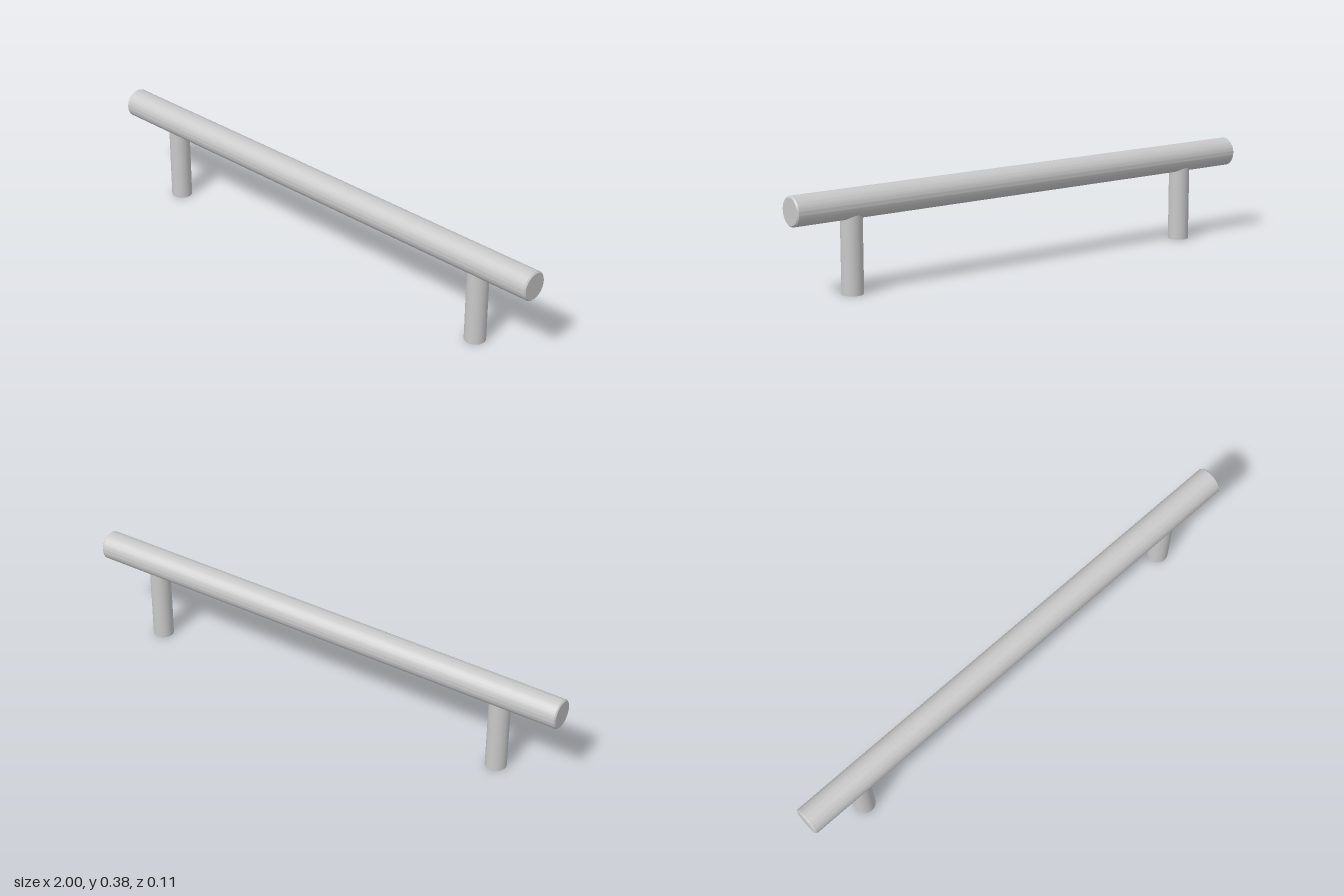
import * as THREE from 'three';
import { toCreasedNormals } from 'three/addons/utils/BufferGeometryUtils.js';

const BAR_R = 0.055, BAR_Y = 0.326, BAR_HALF = 1, CHAMFER = 0.005;
const POST_R = 0.04, POST_X = 0.757;

export function createModel() {
  const group = new THREE.Group();
  group.name = 'barHandle';
  const steel = new THREE.MeshStandardMaterial({ color: 0xc8c8c8, side: THREE.DoubleSide });
  steel.name = 'brushed steel';

  // Round bar with a small chamfer at both ends
  const profile = [
    [0, -BAR_HALF], [BAR_R - CHAMFER, -BAR_HALF], [BAR_R, -BAR_HALF + CHAMFER],
    [BAR_R, BAR_HALF - CHAMFER], [BAR_R - CHAMFER, BAR_HALF], [0, BAR_HALF],
  ].map(([r, y]) => new THREE.Vector2(r, y));
  const barGeometry = toCreasedNormals(new THREE.LatheGeometry(profile, 64), 0.5);
  barGeometry.rotateZ(-Math.PI / 2);
  const bar = new THREE.Mesh(barGeometry, steel);
  bar.name = 'gripBar';
  bar.position.y = BAR_Y;
  group.add(bar);

  // Hollow posts, open at the foot, with the top edge cut to fit the bar
  const postGeometry = new THREE.CylinderGeometry(POST_R, POST_R, 1, 48, 1, true);
  const pos = postGeometry.attributes.position;
  for (let i = 0; i < pos.count; i++) {
    const z = pos.getZ(i);
    pos.setY(i, pos.getY(i) > 0 ? BAR_Y - Math.sqrt(BAR_R ** 2 - z ** 2) + 0.001 : 0);
  }
  for (const side of [-1, 1]) {
    const post = new THREE.Mesh(postGeometry, steel);
    post.name = side < 0 ? 'rightPost' : 'leftPost';
    post.position.x = side * POST_X;
    group.add(post);
  }
  return group;
}
